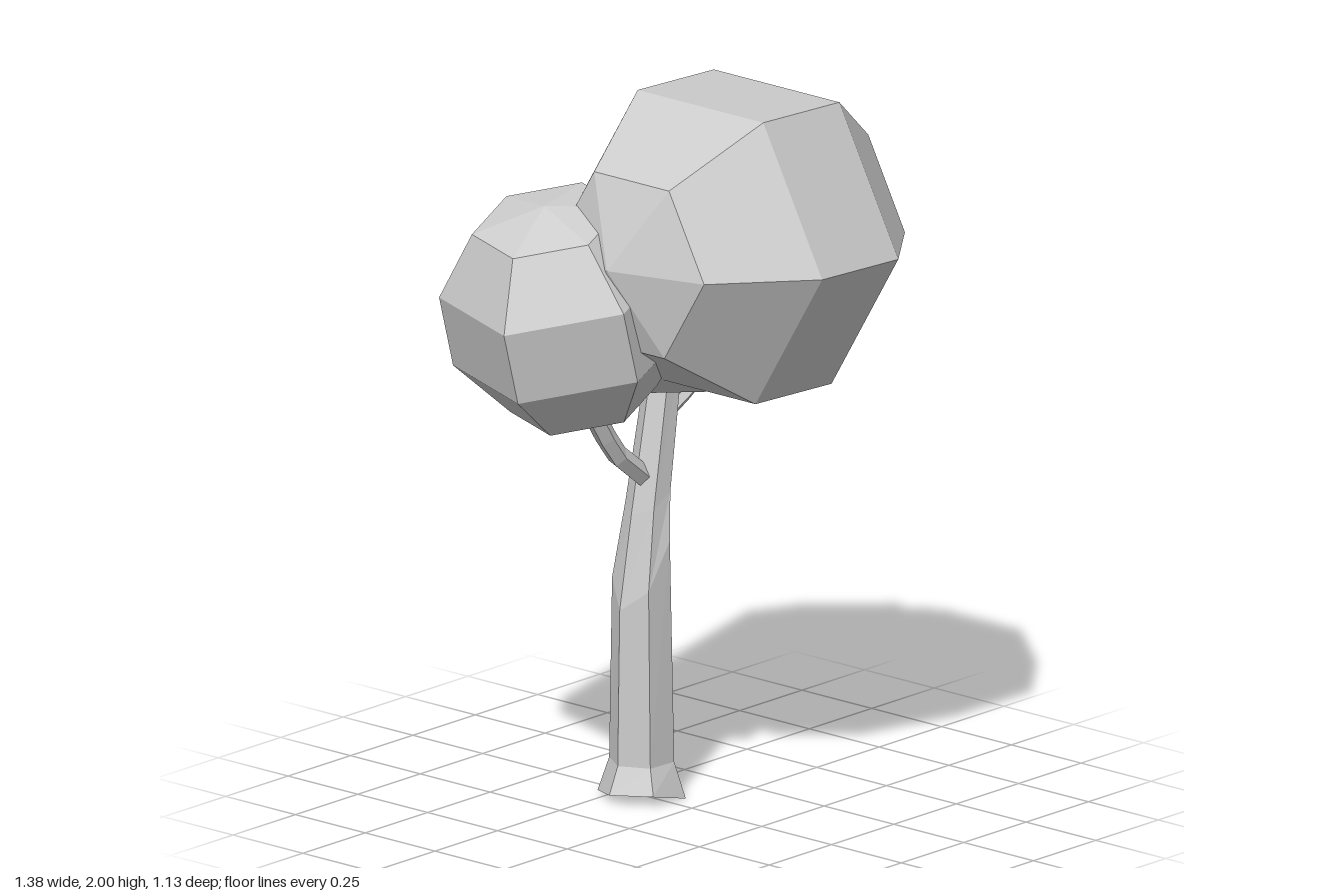
import * as THREE from 'three';

const material = new THREE.MeshStandardMaterial({ color: 0xcccccc, flatShading: true, side: THREE.DoubleSide });

// Six-sided skin over rings [x, y, z, radius, slope], listed bottom to top
function loft(rings, phase, wave = () => 0) {
  const sides = 6;
  const positions = [];
  const corner = (r, i) => {
    const [x, y, z, radius, slope = 0] = rings[r];
    const a = phase + (i % sides) * Math.PI * 2 / sides;
    const dx = radius * Math.cos(a);
    return [x + dx, y + slope * dx + wave(r, i % sides), z + radius * Math.sin(a)];
  };
  for (let r = 0; r < rings.length - 1; r++) {
    for (let i = 0; i < sides; i++) {
      const a = corner(r, i), b = corner(r, i + 1);
      const c = corner(r + 1, i), d = corner(r + 1, i + 1);
      if (rings[r][3] > 0) positions.push(...a, ...c, ...b);
      if (rings[r + 1][3] > 0) positions.push(...b, ...c, ...d);
    }
  }
  const geometry = new THREE.BufferGeometry();
  geometry.setAttribute('position', new THREE.Float32BufferAttribute(positions, 3));
  geometry.computeVertexNormals();
  return geometry;
}

export function createModel() {
  const tree = new THREE.Group();
  tree.name = 'tree';

  const add = (name, geometry, position = [0, 0, 0], tilt = 0) => {
    const mesh = new THREE.Mesh(geometry, material);
    mesh.name = name;
    mesh.position.set(...position);
    mesh.rotation.z = tilt;
    tree.add(mesh);
  };

  // Trunk: flared, wavy foot, then a lean towards +x above the bend
  const footWave = (r, i) => (r === 1 ? [0.015, 0, 0.03, 0.025, 0.005, 0.02][i] : 0);
  add('trunk', loft([
    [0, 0.03, -0.18, 0],
    [0, 0, -0.18, 0.122],
    [0, 0.1, -0.18, 0.09],
    [-0.003, 0.66, -0.18, 0.08, 1.6],
    [0.025, 0.83, -0.18, 0.062, 0.6],
    [0.11, 1.3, -0.18, 0.046],
  ], 0.06, footWave), [0, 0, 0]);

  // Branches: bent tubes from the trunk into the side crowns
  const branch = (name, points, radius) => {
    const curve = new THREE.CurvePath();
    const v = points.map(([x, y]) => new THREE.Vector3(x, y, -0.18));
    for (let i = 0; i < v.length - 1; i++) curve.add(new THREE.LineCurve3(v[i], v[i + 1]));
    add(name, new THREE.TubeGeometry(curve, 6, radius, 5));
  };
  branch('rightBranch', [[0.03, 0.87], [-0.11, 0.98], [-0.27, 1.23]], 0.03);
  branch('leftBranch', [[0.07, 1.03], [0.21, 1.1], [0.31, 1.24]], 0.02);

  // Large front crown, its poles lying along x
  add('frontCrown', loft([
    [0, -0.5, 0, 0],
    [0, -0.41, 0, 0.268],
    [0, -0.14, 0, 0.45],
    [0, 0.165, 0, 0.45],
    [0, 0.382, 0, 0.28],
    [0, 0.475, 0, 0],
  ], Math.PI / 6), [0.03, 1.61, 0.115], -Math.PI / 2 - 0.04);

  // Small crown on the right, leaning outwards
  add('rightCrown', loft([
    [0, -0.34, 0, 0],
    [0, -0.275, 0, 0.2],
    [0, -0.105, 0, 0.325],
    [0, 0.105, 0, 0.325],
    [0, 0.275, 0, 0.205],
    [0, 0.32, 0, 0],
  ], 0.81), [-0.355, 1.446, -0.135], 0.27);

  // Flattened crown on the left, wider above than below
  add('leftCrown', loft([
    [0.15, 1.14, -0.16, 0],
    [0.18, 1.155, -0.16, 0.25],
    [0.18, 1.235, -0.16, 0.4],
    [0.275, 1.41, -0.145, 0.43],
    [0.245, 1.675, -0.15, 0.265],
    [0.24, 1.72, -0.15, 0],
  ], 0.77));

  return tree;
}
